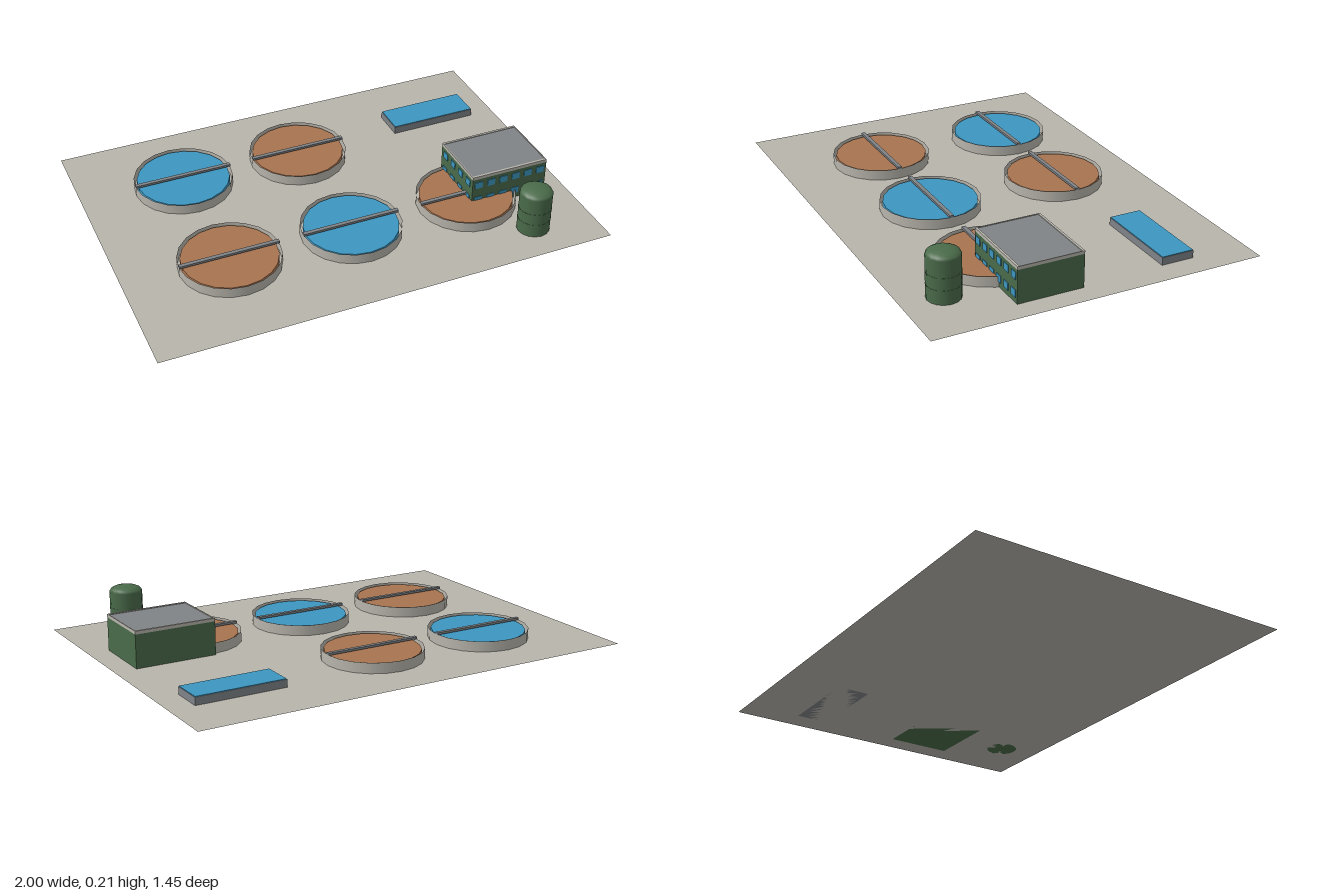
import * as THREE from 'three';

const mat = (name, color, side = THREE.FrontSide) => {
  const m = new THREE.MeshStandardMaterial({ color, side });
  m.name = name;
  return m;
};

export function createModel() {
  const M = {
    concrete: mat('concrete', 0xb8b5ac, THREE.DoubleSide),
    water: mat('clean water', 0x3d96c0),
    sludge: mat('sludge', 0xa87450),
    green: mat('green paint', 0x4a6b4a),
    steel: mat('grey steel', 0x7f8387),
  };
  const root = new THREE.Group();
  root.name = 'treatmentPlant';

  const add = (parent, name, geo, material, x = 0, y = 0, z = 0) => {
    const mesh = new THREE.Mesh(geo, material);
    mesh.name = name;
    mesh.position.set(x, y, z);
    parent.add(mesh);
    return mesh;
  };
  // Box placed by its centre in x and z and by its underside in y
  const box = (parent, name, w, h, d, material, x, y, z) =>
    add(parent, name, new THREE.BoxGeometry(w, h, d), material, x, y + h / 2, z);
  const group = (name, x, z) => {
    const g = new THREE.Group();
    g.name = name;
    g.position.set(x, 0, z);
    root.add(g);
    return g;
  };

  // Ground slab
  add(root, 'ground', new THREE.PlaneGeometry(2, 1.45).rotateX(-Math.PI / 2), M.concrete);

  // Round settling tanks: open wall, liquid surface and walkway across the rim
  const R = 0.218, WALL = 0.046;
  const tanks = [
    [-0.545, -0.33, M.water], [0, -0.33, M.sludge],
    [-0.545, 0.27, M.sludge], [0, 0.27, M.water], [0.545, 0.27, M.sludge],
  ];
  for (const [x, z, liquid] of tanks) {
    const tank = group('settlingTank', x, z);
    add(tank, 'tankWall', new THREE.CylinderGeometry(R, R, WALL, 20, 1, true), M.concrete, 0, WALL / 2, 0);
    add(tank, 'liquid', new THREE.CylinderGeometry(0.205, 0.205, 0.038, 20), liquid, 0, 0.02, 0);
    box(tank, 'walkway', R * 2, 0.01, 0.018, M.steel, 0, 0.045, 0);
  }

  // Rectangular basin
  const basin = group('basin', 0.69, -0.403);
  box(basin, 'basinBody', 0.4, 0.033, 0.146, M.steel, 0, 0, 0);
  box(basin, 'basinWater', 0.396, 0.003, 0.142, M.water, 0, 0.033, 0);

  // Control building with a parapet around a flat roof
  const W = 0.36, D = 0.29, H = 0.146, TOP = 0.16;
  const house = group('controlBuilding', 0.725, 0.18);
  box(house, 'walls', W, H, D, M.green, 0, 0, 0);
  box(house, 'roof', W - 0.006, 0.011, D - 0.018, M.steel, 0, H, 0);
  for (const s of [-1, 1]) {
    box(house, 'parapetLong', W, TOP - H, 0.01, M.concrete, 0, H, s * (D / 2 - 0.005));
    box(house, 'parapetShort', 0.004, TOP - H, D - 0.02, M.concrete, s * (W / 2 - 0.002), H, 0);
  }
  // Two rows of windows on the front and on the side facing the tanks
  for (const y of [0.024, 0.1]) {
    for (let i = 0; i < 6; i++)
      box(house, 'frontWindow', 0.036, 0.031, 0.004, M.water, (i - 2.5) * 0.06, y, D / 2 + 0.001);
    for (let i = 0; i < 4; i++)
      box(house, 'sideWindow', 0.004, 0.031, 0.036, M.water, -W / 2 - 0.001, y, (i - 1.5) * 0.07);
  }

  // Silo with thin hoops and a low domed cap
  const silo = group('silo', 0.725, 0.545);
  const r = 0.071, h = 0.185;
  add(silo, 'siloBody', new THREE.CylinderGeometry(r, r, h, 16), M.green, 0, h / 2, 0);
  const dome = add(silo, 'siloDome',
    new THREE.SphereGeometry(r, 16, 4, 0, Math.PI * 2, 0, Math.PI / 2), M.green, 0, h, 0);
  dome.scale.y = 0.025 / r;
  for (const y of [0.06, 0.113])
    add(silo, 'siloHoop', new THREE.CylinderGeometry(r + 0.001, r + 0.001, 0.003, 16), M.green, 0, y, 0);

  return root;
}
